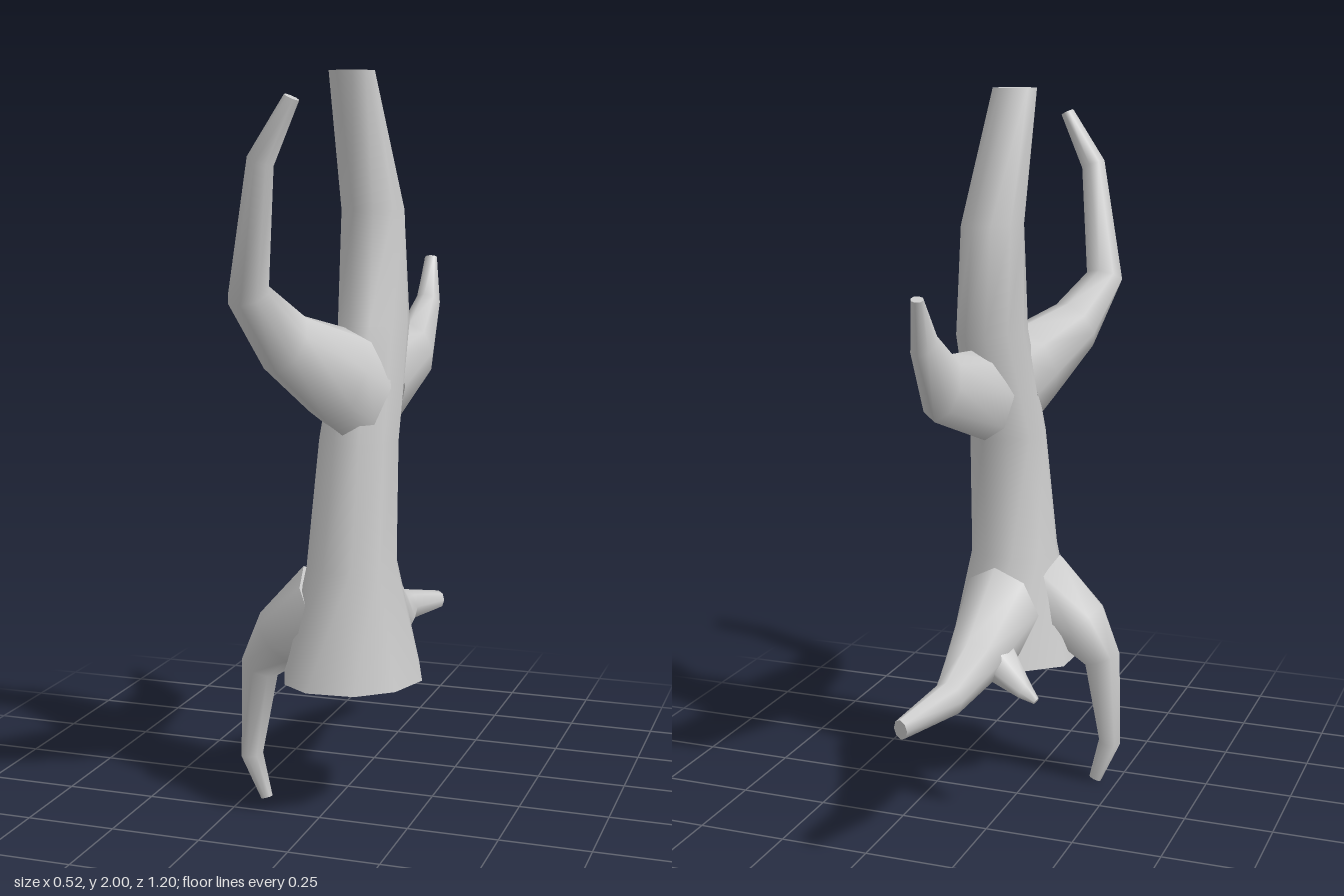
import * as THREE from 'three';

const material = new THREE.MeshStandardMaterial({ color: 0xcccccc });

// Skin a list of rings (each ordered counterclockwise about the direction of travel), with flat end caps.
function loft(name, rings) {
  const n = rings[0].length, pos = [], index = [];
  const add = (p) => pos.push(p.x, p.y, p.z) / 3 - 1;
  rings.forEach((ring) => ring.forEach(add));
  for (let i = 0; i < rings.length - 1; i++) {
    for (let j = 0; j < n; j++) {
      const k = (j + 1) % n, a = i * n, b = a + n;
      index.push(a + j, a + k, b + k, a + j, b + k, b + j);
    }
  }
  [[rings[0], true], [rings[rings.length - 1], false]].forEach(([ring, flip]) => {
    const mid = ring.reduce((s, p) => s.add(p), new THREE.Vector3()).divideScalar(n);
    const c = add(mid);
    ring.forEach(add);
    for (let j = 0; j < n; j++) {
      const p = c + 1 + j, q = c + 1 + ((j + 1) % n);
      index.push(c, flip ? q : p, flip ? p : q);
    }
  });
  const geometry = new THREE.BufferGeometry();
  geometry.setAttribute('position', new THREE.Float32BufferAttribute(pos, 3));
  geometry.setIndex(index);
  geometry.computeVertexNormals();
  const mesh = new THREE.Mesh(geometry, material);
  mesh.name = name;
  return mesh;
}

// Tapered limb: sections are [x, y, z, half width along side, half depth].
function limb(name, side, sections, n = 8) {
  const centres = sections.map((s) => new THREE.Vector3(s[0], s[1], s[2]));
  const last = centres.length - 1;
  const step = (i) => centres[i + 1].clone().sub(centres[i]).normalize();
  const rings = sections.map((s, i) => {
    const t = step(Math.min(i, last - 1));
    if (i > 0) t.add(step(i - 1)).normalize();
    const u = side.clone().addScaledVector(t, -side.dot(t)).normalize();
    const v = t.clone().cross(u);
    return Array.from({ length: n }, (_, j) => {
      const a = (j / n) * Math.PI * 2;
      return centres[i].clone()
        .addScaledVector(u, Math.cos(a) * s[3])
        .addScaledVector(v, Math.sin(a) * s[4]);
    });
  });
  return loft(name, rings);
}

// Trunk: level oval rings from the cut top down to an uneven flared foot.
function trunk() {
  const rings = [
    [2.0, 0.053, 0.13, 0.063, 0.062],
    [1.64, 0.078, 0.022, 0.088, 0.092],
    [1.34, 0.092, 0.055, 0.093, 0.14],
    [1.04, 0.08, 0.148, 0.11, 0.118],
    [0.7, 0.065, 0.162, 0.125, 0.139],
  ].map(([y, cx, cz, rx, rz]) => Array.from({ length: 10 }, (_, j) => {
    const a = (j / 10) * Math.PI * 2;
    return new THREE.Vector3(cx + rx * Math.cos(a), y, cz + rz * Math.sin(a));
  }));
  const foot = [
    [0.26, 0.15], [0.22, 0.27], [0.13, 0.345], [0.0, 0.355], [-0.08, 0.3],
    [-0.125, 0.18], [-0.12, 0.06], [0.0, -0.04], [0.1, -0.08], [0.2, -0.03],
  ];
  rings.push(foot.map(([x, z]) => new THREE.Vector3(x, 0.385, z)));
  return loft('trunk', rings);
}

export function createModel() {
  const group = new THREE.Group();
  group.name = 'treeStump';
  const X = new THREE.Vector3(1, 0, 0), Z = new THREE.Vector3(0, 0, 1);

  group.add(trunk());

  // Long branch reaching forward, then up
  group.add(limb('frontBranch', X, [
    [0.08, 1.17, 0.15, 0.1, 0.15],
    [0.05, 1.22, 0.25, 0.1, 0.135],
    [-0.035, 1.315, 0.4, 0.072, 0.094],
    [-0.09, 1.445, 0.512, 0.055, 0.06],
    [-0.035, 1.77, 0.565, 0.036, 0.038],
    [0.045, 1.92, 0.562, 0.018, 0.032],
  ]));

  // Shorter branch hooking up at the back
  group.add(limb('backBranch', X, [
    [0.095, 1.17, 0.03, 0.08, 0.13],
    [0.12, 1.235, -0.245, 0.055, 0.098],
    [0.133, 1.365, -0.335, 0.035, 0.05],
    [0.122, 1.49, -0.4, 0.018, 0.014],
  ]));

  // Root lying out behind the trunk
  group.add(limb('backRoot', X, [
    [0.065, 0.535, 0.04, 0.115, 0.15],
    [0.06, 0.458, -0.21, 0.075, 0.075],
    [0.045, 0.435, -0.41, 0.043, 0.05],
    [0.1, 0.413, -0.595, 0.022, 0.028],
  ]));

  // Root bending downward on the right side
  group.add(limb('rightRoot', Z, [
    [0.0, 0.55, 0.17, 0.13, 0.15],
    [-0.14, 0.475, 0.17, 0.09, 0.088],
    [-0.203, 0.385, 0.165, 0.055, 0.056],
    [-0.228, 0.13, 0.165, 0.034, 0.032],
    [-0.185, 0.008, 0.165, 0.01, 0.018],
  ]));

  // Small pointed stub beside the back root
  group.add(limb('rootStub', Z, [
    [0.03, 0.46, -0.12, 0.08, 0.06],
    [-0.09, 0.395, -0.185, 0.025, 0.025],
    [-0.125, 0.372, -0.19, 0.01, 0.01],
  ], 6));

  return group;
}
